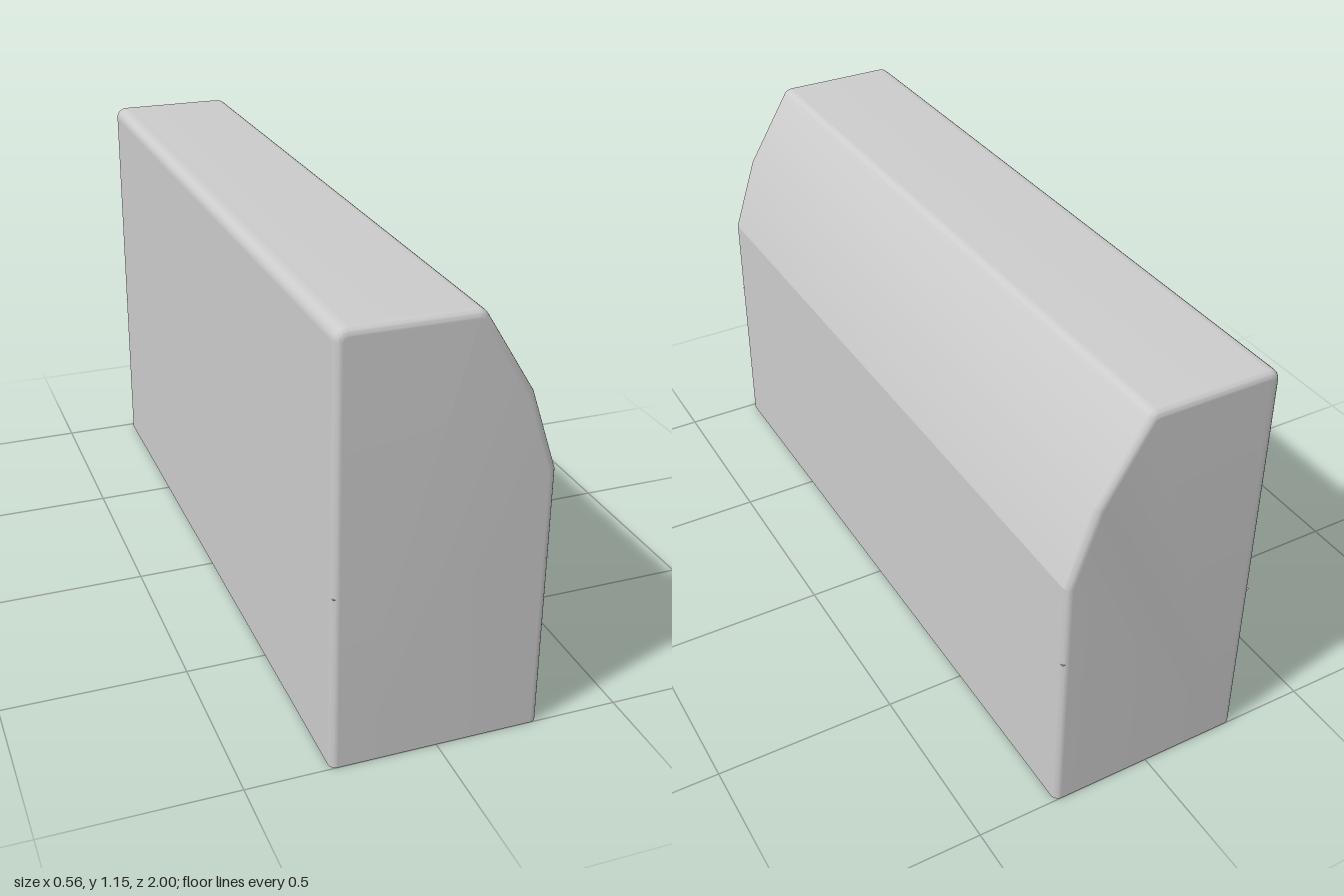
import * as THREE from 'three';
import { toCreasedNormals } from 'three/addons/utils/BufferGeometryUtils.js';

const HALF_X = 0.28, HALF_Z = 1, TOP = 1.15, BEVEL = 0.02, ROUND = 0.03, STEPS = 6;

// Cross-section: up the straight side, across the top, down the sloped side
function makeProfile() {
  const points = [[-HALF_X, 0], [-HALF_X, TOP - ROUND - 0.003]];
  const arc = (cx, cy, from, to, steps) => {
    for (let i = 0; i <= steps; i++) {
      const a = THREE.MathUtils.degToRad(from + (to - from) * i / steps);
      points.push([cx + ROUND * Math.cos(a), cy + ROUND * Math.sin(a)]);
    }
  };
  arc(-HALF_X + ROUND, TOP - ROUND, 180, 90, STEPS);
  points.push([-HALF_X + ROUND + 0.003, TOP], [0.055, TOP]);
  arc(0.0585, TOP - ROUND, 90, 32.5, 4);
  points.push([0.21, 0.93], [HALF_X, 0.72], [HALF_X, 0]);
  return points.map(([x, y]) => new THREE.Vector2(x, y));
}

// Moves the open outline inwards by d, keeping mitred corners
function inset(points, d) {
  const normal = (a, b) => new THREE.Vector2(a.y - b.y, b.x - a.x).normalize();
  return points.map((p, i) => {
    const n1 = normal(points[Math.max(i - 1, 0)], points[Math.max(i, 1)]);
    const last = points.length - 1;
    const n2 = normal(points[Math.min(i, last - 1)], points[Math.min(i + 1, last)]);
    const scale = -d / (1 + n1.dot(n2));
    return p.clone().addScaledVector(n1.add(n2), scale);
  });
}

function makeShell() {
  const profile = makeProfile();
  // Rings from the front: cap border, rounded edge, support loop
  const half = [[BEVEL + 0.002, HALF_Z]];
  for (let i = 0; i <= STEPS; i++) {
    const a = i / STEPS * Math.PI / 2;
    half.push([BEVEL * (1 - Math.sin(a)), HALF_Z - BEVEL * (1 - Math.cos(a))]);
  }
  half.push([0, HALF_Z - BEVEL - 0.003]);
  const stations = [...half.map(([d, z]) => [d, -z]), ...half.reverse()];
  const rings = stations.map(([d, z]) =>
    inset(profile, d).map((p) => new THREE.Vector3(p.x, p.y, z)));

  const positions = [];
  const tri = (...corners) => corners.forEach((v) => positions.push(v.x, v.y, v.z));
  for (let i = 0; i < rings.length - 1; i++) {
    for (let j = 0; j < profile.length - 1; j++) {
      const a = rings[i][j], b = rings[i][j + 1];
      const c = rings[i + 1][j], d = rings[i + 1][j + 1];
      tri(a, c, b);
      tri(b, c, d);
    }
  }
  // Flat ends
  const back = rings[0], front = rings[rings.length - 1];
  for (let j = 1; j < profile.length - 1; j++) {
    tri(front[0], front[j + 1], front[j]);
    tri(back[0], back[j], back[j + 1]);
  }
  const geometry = new THREE.BufferGeometry();
  geometry.setAttribute('position', new THREE.Float32BufferAttribute(positions, 3));
  return toCreasedNormals(geometry, 0.29);
}

export function createModel() {
  const model = new THREE.Group();
  model.name = 'slopedBlock';
  const material = new THREE.MeshStandardMaterial({ color: 0xcccccc, side: THREE.DoubleSide });

  // Outer walls, top and slope, open underneath
  const shell = new THREE.Mesh(makeShell(), material);
  shell.name = 'shell';
  model.add(shell);

  // Panel closing the hollow underside
  const panel = new THREE.Mesh(
    new THREE.PlaneGeometry(2 * (HALF_X - 0.002), 2 * (HALF_Z - 0.002)), material);
  panel.name = 'undersidePanel';
  panel.rotation.x = Math.PI / 2;
  panel.position.y = 0.48;
  model.add(panel);

  return model;
}
